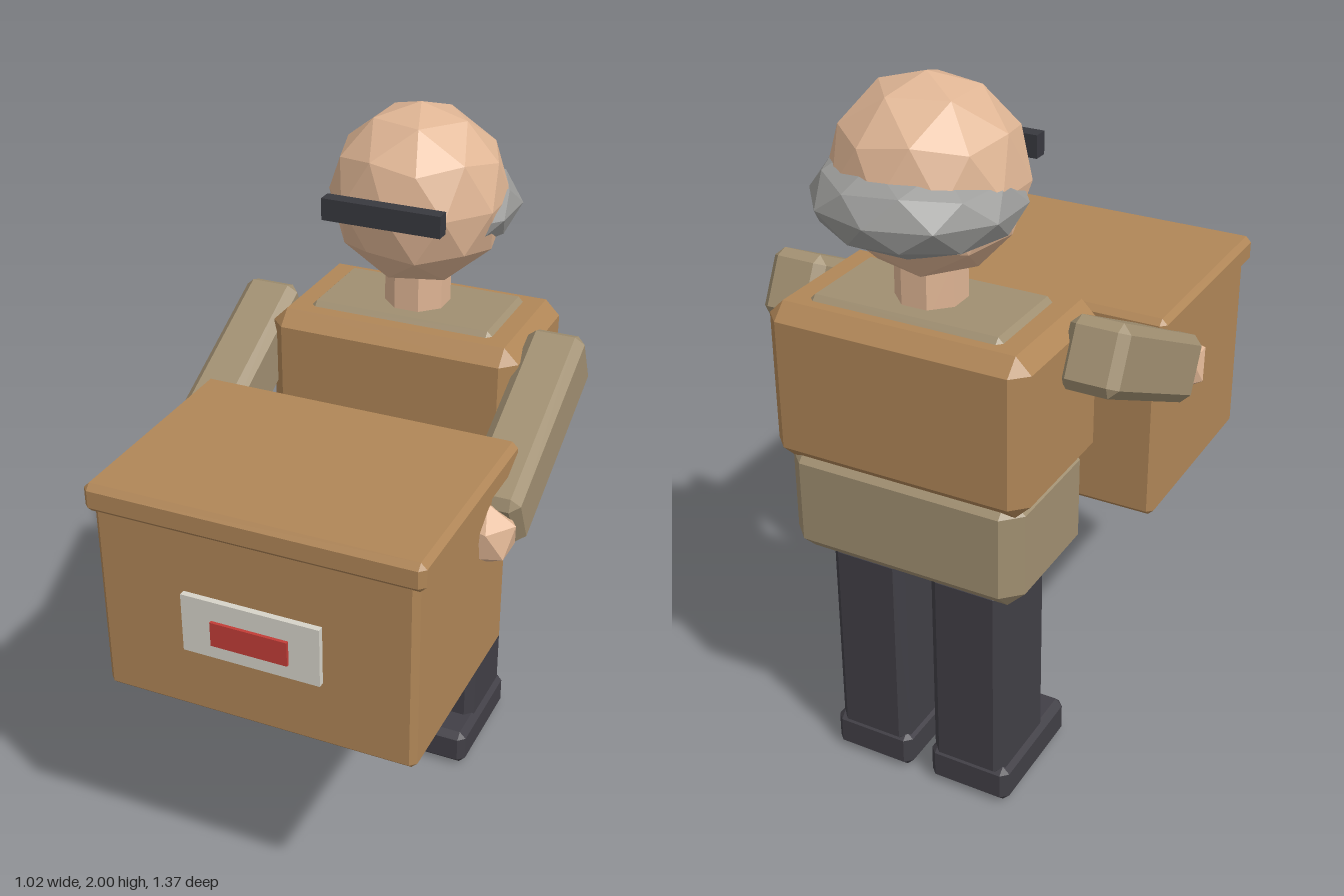
import * as THREE from 'three';
import { ConvexGeometry } from 'three/addons/geometries/ConvexGeometry.js';

const material = (name, color) => {
  const m = new THREE.MeshStandardMaterial({ color, flatShading: true });
  m.name = name;
  return m;
};

// Box with chamfered edges, centred on the origin
function chamferBox(w, h, d, c) {
  const points = [];
  for (const sx of [-1, 1]) for (const sy of [-1, 1]) for (const sz of [-1, 1]) {
    const x = sx * w / 2, y = sy * h / 2, z = sz * d / 2;
    points.push(
      new THREE.Vector3(x, y - sy * c, z - sz * c),
      new THREE.Vector3(x - sx * c, y, z - sz * c),
      new THREE.Vector3(x - sx * c, y - sy * c, z));
  }
  return new ConvexGeometry(points);
}

// Icosphere with one vertex pointing straight up
function icoBall(rx, ry, rz, detail) {
  return new THREE.IcosahedronGeometry(1, detail)
    .rotateZ(-Math.atan(2 / (1 + Math.sqrt(5))))
    .scale(rx, ry, rz);
}

export function createModel() {
  const model = new THREE.Group();
  model.name = 'courierWithBox';

  const cardboard = material('cardboard brown', 0xb08657);
  const khaki = material('khaki', 0xa08f71);
  const skin = material('skin', 0xdfb594);
  const grey = material('grey hair', 0x9b9b99);
  const charcoal = material('charcoal trousers', 0x413f46);
  const black = material('glasses black', 0x38393f);
  const paper = material('label paper', 0xd6d3c9);
  const red = material('label red', 0xc23d37);

  const add = (name, geometry, mat, x, y, z) => {
    const mesh = new THREE.Mesh(geometry, mat);
    mesh.name = name;
    mesh.position.set(x, y, z);
    model.add(mesh);
    return mesh;
  };

  // Body
  add('torso', chamferBox(0.73, 0.44, 0.435, 0.042), cardboard, 0, 1.2, -0.383);
  add('collar', chamferBox(0.54, 0.06, 0.285, 0.015), khaki, 0, 1.404, -0.388);
  add('hips', chamferBox(0.68, 0.33, 0.405, 0.05), khaki, 0, 0.86, -0.383);

  // Head
  add('neck', new THREE.CylinderGeometry(0.092, 0.092, 0.16, 8).rotateY(Math.PI / 8),
    skin, 0, 1.48, -0.385);
  add('head', icoBall(0.25, 0.25, 0.238, 1), skin, 0, 1.75, -0.385);
  add('hair', icoBall(0.268, 0.13, 0.25, 1), grey, 0, 1.715, -0.436);
  add('glasses', new THREE.BoxGeometry(0.335, 0.06, 0.04), black, 0, 1.768, -0.132);

  // Limbs and eyes, mirrored
  for (const [side, s] of [['left', 1], ['right', -1]]) {
    add(side + 'Eye', new THREE.BoxGeometry(0.05, 0.04, 0.04), black, s * 0.09, 1.745, -0.175);
    add(side + 'Leg', chamferBox(0.22, 0.62, 0.26, 0.025), charcoal, s * 0.15, 0.39, -0.384);
    add(side + 'Shoe', chamferBox(0.243, 0.115, 0.365, 0.02), charcoal, s * 0.153, 0.0575, -0.332);
    const arm = add(side + 'Arm', chamferBox(0.16, 0.185, 0.59, 0.025), khaki, s * 0.43, 1.232, -0.115);
    arm.rotation.x = 0.467;
    add(side + 'Hand', icoBall(0.088, 0.088, 0.088, 0), skin, s * 0.43, 1.09, 0.185);
  }

  // Carried box with lid and label
  add('boxBody', chamferBox(0.874, 0.56, 0.622, 0.016), cardboard, 0, 0.95, 0.35);
  add('boxLid', chamferBox(0.912, 0.08, 0.652, 0.016), cardboard, 0, 1.246, 0.349);
  add('label', new THREE.BoxGeometry(0.38, 0.168, 0.018), paper, 0, 0.952, 0.669);
  add('labelPanel', new THREE.BoxGeometry(0.212, 0.07, 0.009), red, 0, 0.945, 0.6825);

  return model;
}
